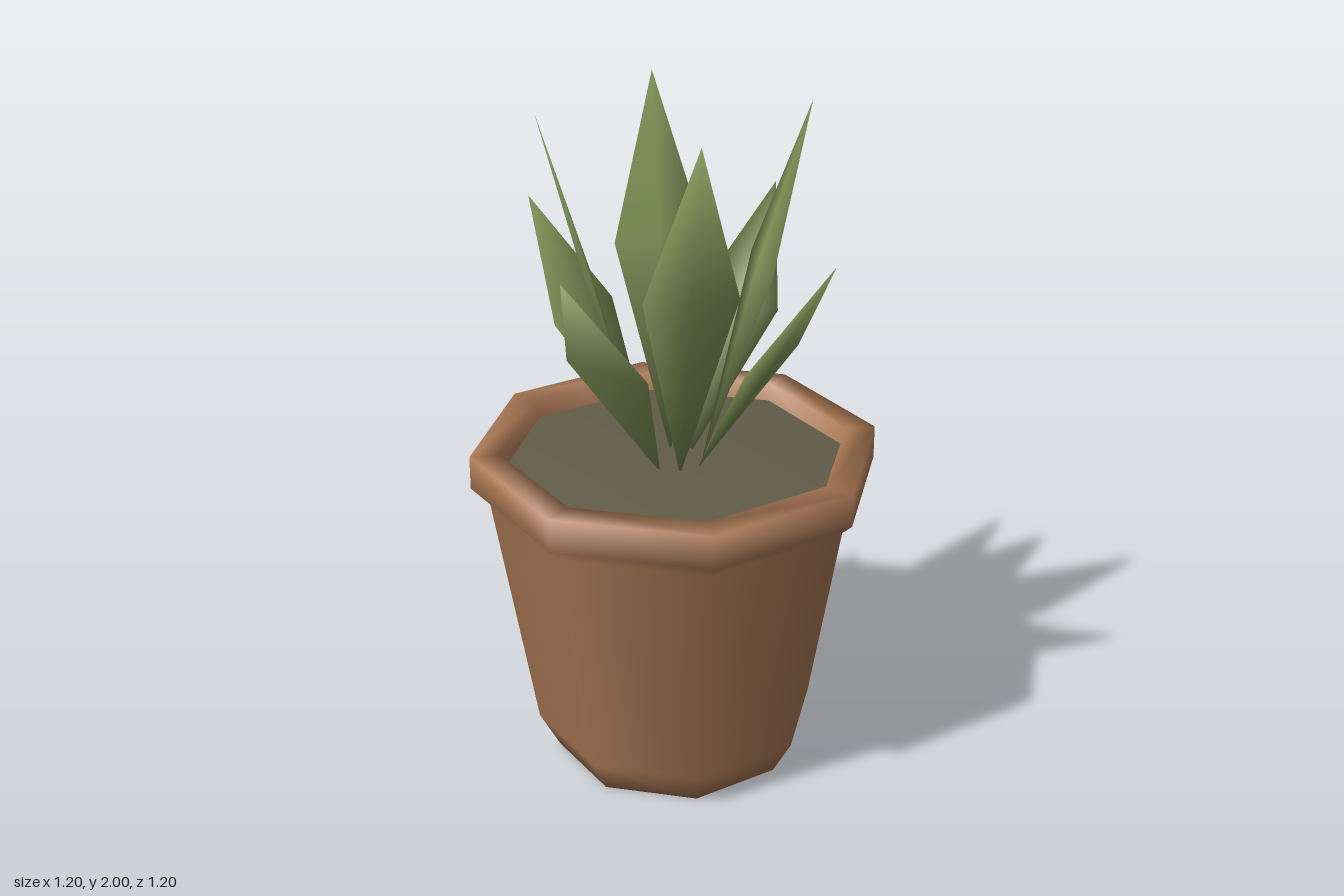
import * as THREE from 'three';

const mat = (name, color) => {
  const m = new THREE.MeshStandardMaterial({ color });
  m.name = name;
  return m;
};

// Eight-sided turned part with corners on the x and z axes
function turned(name, profile, material) {
  const points = profile.map(([r, y]) => new THREE.Vector2(r, y));
  const mesh = new THREE.Mesh(new THREE.LatheGeometry(points, 8), material);
  mesh.name = name;
  return mesh;
}

// Thin diamond blade leaning along +z: base, two side corners, tip, and a slight swell on both faces
function leafGeometry({ base, mid, tip, halfWidth }) {
  const lean = new THREE.Vector2(tip[0] - base[0], tip[1] - base[1]).normalize();
  const swell = 0.012;
  const [r, y] = mid;
  const positions = [
    0, base[1], base[0],
    halfWidth, y, r,
    0, tip[1], tip[0],
    -halfWidth, y, r,
    0, y - swell * lean.x, r + swell * lean.y, // outer face
    0, y + swell * lean.x, r - swell * lean.y, // inner face
  ];
  const index = [];
  for (let i = 0; i < 4; i++) {
    const j = (i + 1) % 4;
    index.push(i, j, 4, j, i, 5);
  }
  const g = new THREE.BufferGeometry();
  g.setAttribute('position', new THREE.Float32BufferAttribute(positions, 3));
  g.setIndex(index);
  g.computeVertexNormals();
  return g;
}

export function createModel() {
  const terracotta = mat('terracotta', 0xac7a56);
  const earth = mat('earth', 0x635d49);
  const green = mat('leaf green', 0x82965a);

  const model = new THREE.Group();
  model.name = 'pottedPlant';

  // Pot with chamfered foot, flared wall and thick rim
  model.add(turned('pot', [
    [0, 0], [0.36, 0], [0.42, 0.11], [0.545, 0.85], [0.598, 0.9],
    [0.598, 1], [0.51, 1], [0.5, 0.88],
  ], terracotta));

  // Soil just below the rim
  model.add(turned('soil', [[0.505, 0.9], [0.505, 0.945], [0, 0.945]], earth));

  // Tall leaves on the diagonals, short spreading leaves on the axes
  const tall = leafGeometry({ base: [0.078, 0.93], mid: [0.247, 1.53], tip: [0.382, 2], halfWidth: 0.134 });
  const short = leafGeometry({ base: [0.075, 0.93], mid: [0.325, 1.335], tip: [0.52, 1.65], halfWidth: 0.138 });
  const leaves = new THREE.Group();
  leaves.name = 'leaves';
  for (let i = 0; i < 8; i++) {
    const leaf = new THREE.Mesh(i % 2 ? tall : short, green);
    leaf.name = i % 2 ? 'tallLeaf' : 'shortLeaf';
    leaf.rotation.y = (i * Math.PI) / 4;
    leaves.add(leaf);
  }
  model.add(leaves);
  return model;
}
